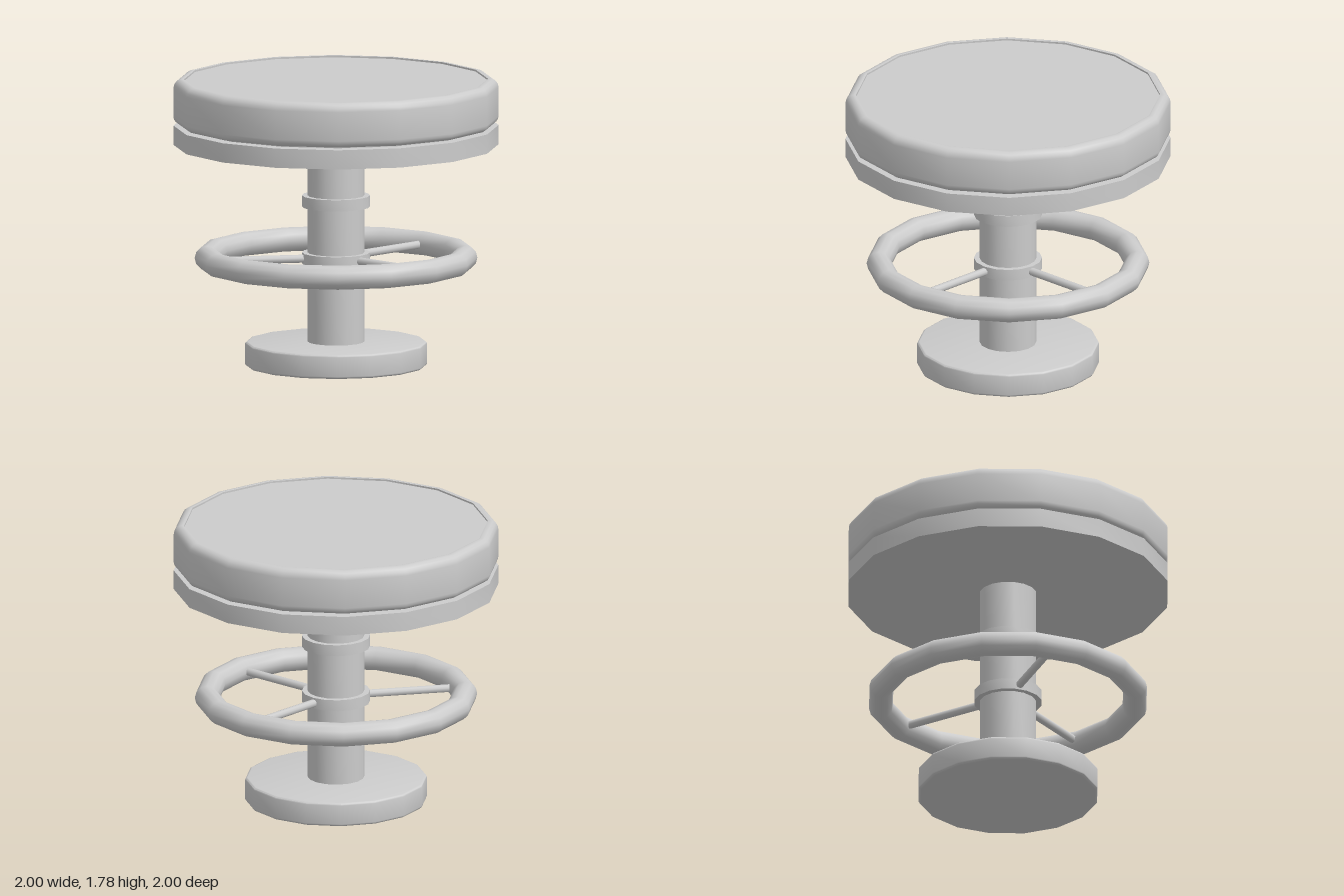
import * as THREE from 'three';
import { toCreasedNormals } from 'three/addons/utils/BufferGeometryUtils.js';

const SIDES = 16;
const material = new THREE.MeshStandardMaterial({ color: 0xcccccc });

function addMesh(parent, name, geometry) {
  const mesh = new THREE.Mesh(geometry, material);
  mesh.name = name;
  parent.add(mesh);
  return mesh;
}

// Points of a quarter-circle corner, from angle a0 to a0 + 90 degrees
function corner(cx, cy, radius, a0, steps = 4) {
  return Array.from({ length: steps + 1 }, (_, i) => {
    const a = a0 + (i / steps) * Math.PI / 2;
    return [cx + radius * Math.cos(a), cy + radius * Math.sin(a)];
  });
}

// Turned part: smooth around, sharp where the profile turns hard
function turned(parent, name, profile) {
  const points = profile.map(([r, y]) => new THREE.Vector2(r, y));
  const geometry = new THREE.LatheGeometry(points, SIDES);
  return addMesh(parent, name, toCreasedNormals(geometry, 0.6));
}

// Plain straight disc or post between two heights
function disc(parent, name, r, y0, y1) {
  return turned(parent, name, [[0, y0], [r, y0], [r, y1], [0, y1]]);
}

export function createModel() {
  const stool = new THREE.Group();
  stool.name = 'stool';

  // Base with slightly eased edges
  turned(stool, 'base', [
    [0, 0],
    ...corner(0.545, 0.015, 0.015, -Math.PI / 2, 3),
    ...corner(0.545, 0.135, 0.015, 0, 3),
    [0, 0.15],
  ]);

  // Column and its upper collar
  disc(stool, 'column', 0.175, 0.14, 1.39);
  disc(stool, 'upperCollar', 0.21, 0.99, 1.06);

  // Foot ring with hub and three spokes
  const footRest = new THREE.Group();
  footRest.name = 'footRest';
  footRest.position.y = 0.67;
  stool.add(footRest);
  const ring = new THREE.TorusGeometry(0.795, 0.075, 12, SIDES);
  ring.rotateX(Math.PI / 2);
  addMesh(footRest, 'footRing', ring);
  disc(footRest, 'hub', 0.21, -0.035, 0.035);
  for (const degrees of [0, 90, 234]) {
    const spoke = new THREE.CylinderGeometry(0.025, 0.025, 0.62, 10);
    spoke.rotateX(Math.PI / 2);
    spoke.translate(0, 0, 0.47);
    spoke.rotateY(THREE.MathUtils.degToRad(degrees));
    addMesh(footRest, 'spoke', spoke);
  }

  // Seat plate, with a narrow recessed gap below the cushion
  disc(stool, 'seatPlate', 1, 1.375, 1.495);
  disc(stool, 'seatGap', 0.92, 1.49, 1.51);

  // Cushion: rounded rim around a slightly sunken top panel
  turned(stool, 'cushion', [
    [0, 1.505],
    ...corner(0.955, 1.55, 0.045, -Math.PI / 2),
    ...corner(0.945, 1.73, 0.055, 0),
    [0.935, 1.783],
    [0.935, 1.772],
    [0, 1.772],
  ]);

  return stool;
}
